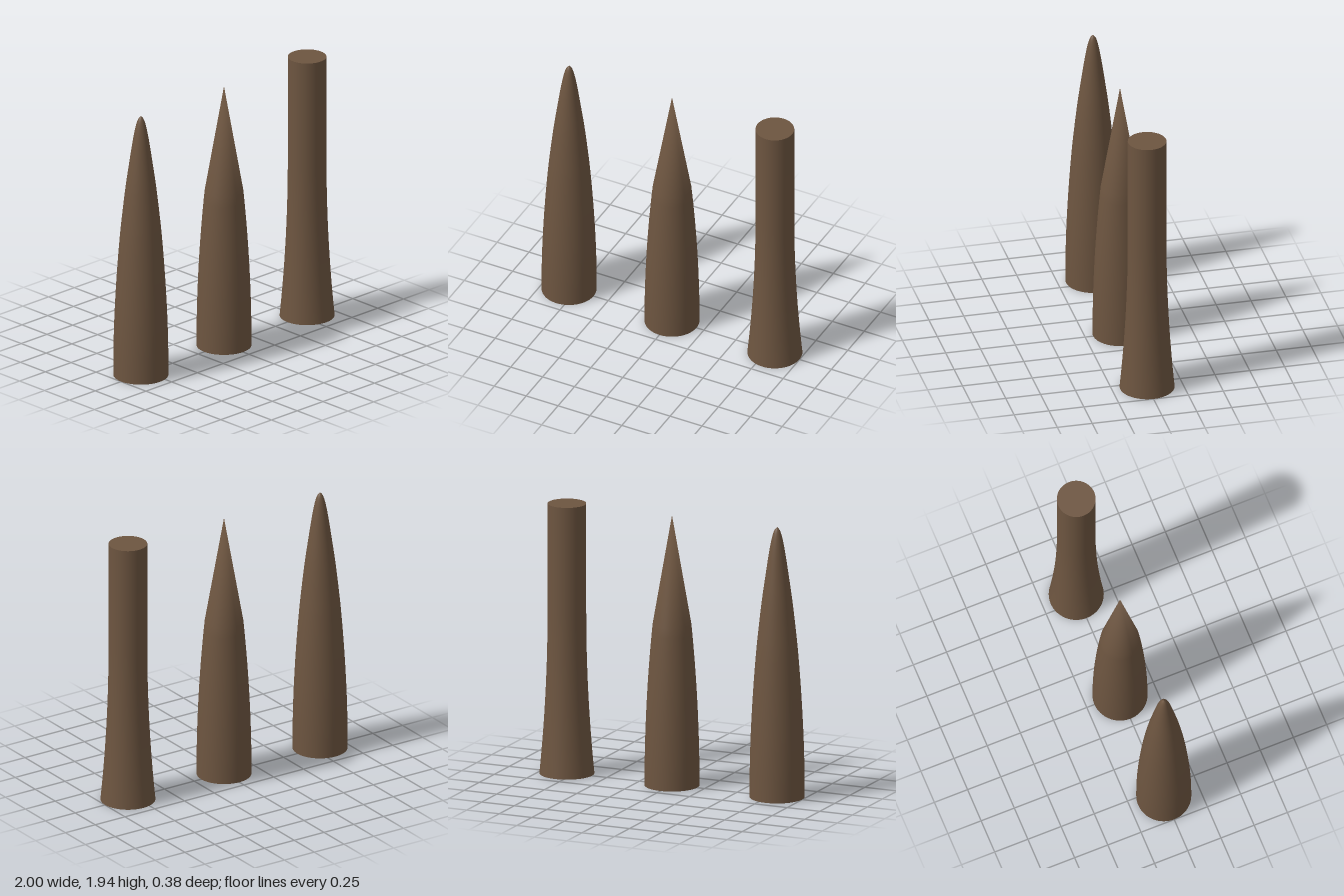
import * as THREE from 'three';

const HEIGHT = 1.94, BASE = 0.192, NECK = 0.135, SEGMENTS = 64;

export function createModel() {
  const model = new THREE.Group();
  const wood = new THREE.MeshStandardMaterial({ color: 0x6d5540 });
  wood.name = 'brown wood';

  const disc = (name, radius, y, up) => {
    const mesh = new THREE.Mesh(new THREE.CircleGeometry(radius, SEGMENTS), wood);
    mesh.name = name;
    mesh.rotation.x = up ? -Math.PI / 2 : Math.PI / 2;
    mesh.position.y = y;
    return mesh;
  };

  // A turned post from [radius, y] points, closed by a flat base
  const post = (name, x, profile) => {
    const group = new THREE.Group();
    group.name = name;
    group.position.x = x;
    const points = profile.map(([r, y]) => new THREE.Vector2(r, y));
    const body = new THREE.Mesh(new THREE.LatheGeometry(points, SEGMENTS), wood);
    body.name = name + 'Body';
    group.add(body, disc(name + 'Base', BASE, 0, false));
    model.add(group);
    return group;
  };

  // Rounded post: sides bow in to a blunt tip
  const bow = new THREE.SplineCurve([
    [BASE, 0], [0.191, 0.2], [0.186, 0.4], [0.177, 0.6], [0.165, 0.8], [0.15, 1],
    [NECK, 1.16], [0.108, 1.4], [0.08, 1.6], [0.056, 1.76], [0.037, 1.86], [0.02, 1.915], [0, HEIGHT],
  ].map(([r, y]) => new THREE.Vector2(r, y)));
  post('roundedPost', -0.807, bow.getPoints(48).map((p) => [Math.max(p.x, 0), p.y]));

  // Pointed post: bowed sides below a straight cone
  const pointed = [];
  for (let i = 0; i <= 16; i++) {
    const t = i / 16;
    pointed.push([BASE - (BASE - NECK) * t * t, 1.16 * t]);
  }
  pointed.push([0, HEIGHT]);
  const spike = post('pointedPost', 0, pointed);
  // Shared upward normal at the apex
  const { position, normal } = spike.children[0].geometry.attributes;
  for (let i = 0; i < position.count; i++) {
    if (position.getY(i) > HEIGHT - 0.001) normal.setXYZ(i, 0, 1, 0);
  }

  // Flat-topped post: flared foot easing into a straight shaft
  const flared = [];
  for (let i = 0; i <= 16; i++) {
    const t = i / 16;
    flared.push([NECK + (BASE - NECK) * (1 - t) ** 2, 1.16 * t]);
  }
  flared.push([NECK, HEIGHT]);
  post('flatPost', 0.807, flared).add(disc('flatPostTop', NECK, HEIGHT, true));

  return model;
}
